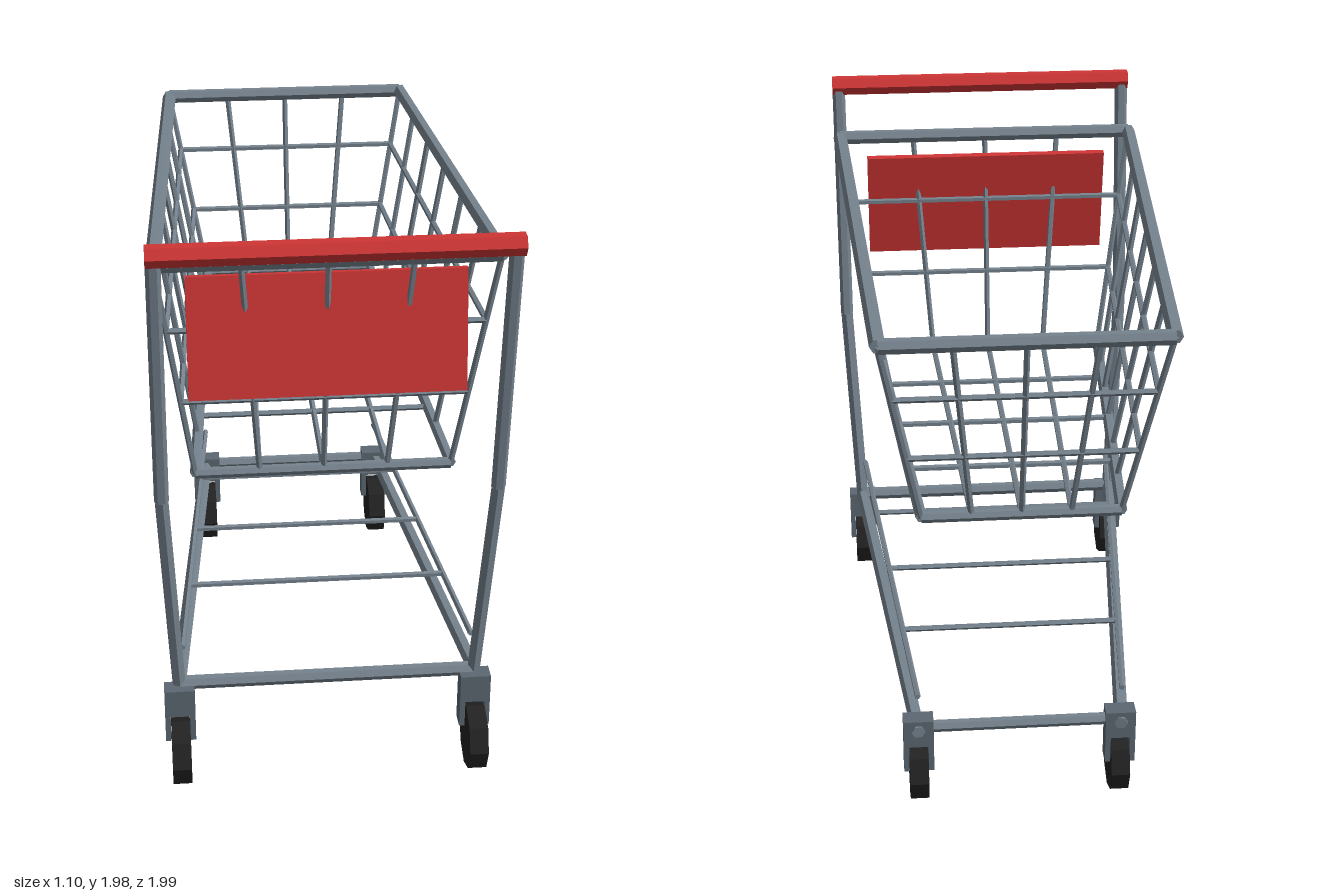
import * as THREE from 'three';

const mat = (name, color) => {
  const m = new THREE.MeshStandardMaterial({ color, flatShading: true });
  m.name = name;
  return m;
};

export function createModel() {
  const steel = mat('steel', 0x75828d);
  const darkSteel = mat('dark steel', 0x5c6872);
  const red = mat('red plastic', 0xcf3535);
  const rubber = mat('black rubber', 0x222222);

  const root = new THREE.Group();
  root.name = 'shoppingTrolley';
  const part = (name) => {
    const g = new THREE.Group();
    g.name = name;
    root.add(g);
    return g;
  };
  const V = (x, y, z) => new THREE.Vector3(x, y, z);
  const mix = (a, b, t) => a.clone().lerp(b, t);

  // Straight bar between two points, with an edge turned sideways
  const bar = (group, name, a, b, r, sides = 6, material = steel) => {
    const geo = new THREE.CylinderGeometry(r, r, a.distanceTo(b), sides, 1, false, Math.PI / 2);
    geo.rotateX(Math.PI / 2);
    const m = new THREE.Mesh(geo, material);
    m.name = name;
    m.position.copy(mix(a, b, 0.5));
    m.lookAt(b);
    group.add(m);
  };
  const box = (group, name, w, h, d, x, y, z, material) => {
    const m = new THREE.Mesh(new THREE.BoxGeometry(w, h, d), material);
    m.name = name;
    m.position.set(x, y, z);
    group.add(m);
    return m;
  };

  // Push handle and seat panel
  const handle = part('handle');
  bar(handle, 'handleGrip', V(-0.548, 1.945, 0.965), V(0.548, 1.945, 0.965), 0.035, 6, red);
  const panel = box(root, 'seatPanel', 0.86, 0.39, 0.024, 0, 1.567, 0.722, red);
  panel.rotation.x = -0.167;

  // Basket corners run front left, front right, back right, back left
  const basket = part('basket');
  const top = [V(0.525, 1.82, 0.74), V(-0.525, 1.82, 0.74), V(-0.433, 1.768, -0.968), V(0.433, 1.768, -0.968)];
  const low = [V(0.412, 1.037, 0.61), V(-0.412, 1.037, 0.61), V(-0.312, 1.115, -0.82), V(0.312, 1.115, -0.82)];
  const wire = 0.01;
  for (let i = 0; i < 4; i++) {
    const j = (i + 1) % 4;
    bar(basket, 'topRim', top[i], top[j], 0.024);
    bar(basket, 'bottomRim', low[i], low[j], 0.018);
    // Upright wires, including one at each corner
    const n = i % 2 ? 6 : 4;
    for (let k = 0; k < n; k++) {
      bar(basket, 'uprightWire', mix(low[i], low[j], k / n), mix(top[i], top[j], k / n), wire, 5);
    }
    // Level wires round the walls
    for (const t of [0.36, 0.7]) {
      bar(basket, 'levelWire', mix(low[i], top[i], t), mix(low[j], top[j], t), wire, 5);
    }
  }
  // Basket floor
  for (const t of [0.25, 0.5, 0.75]) {
    bar(basket, 'floorLongWire', mix(low[0], low[1], t), mix(low[3], low[2], t), wire, 5);
    bar(basket, 'floorCrossWire', mix(low[0], low[3], t), mix(low[1], low[2], t), wire, 5);
  }

  // Chassis, lower rack and casters, mirrored left and right
  const frame = part('frame');
  const rack = part('lowerRack');
  for (const s of [1, -1]) {
    const bend = V(s * 0.525, 1.08, 0.852);
    bar(frame, 'upperPost', V(s * 0.525, 1.945, 0.96), bend, 0.023);
    bar(frame, 'lowerPost', bend, V(s * 0.49, 0.335, 0.762), 0.023);
    bar(frame, 'baseRail', V(s * 0.49, 0.335, 0.762), V(s * 0.335, 0.298, -0.81), 0.023);
    bar(rack, 'rackSideWire', V(s * 0.475, 0.475, 0.765), V(s * 0.335, 0.433, -0.8), wire, 5);

    for (const [x, z, where] of [[0.49, 0.785, 'front'], [0.335, -0.775, 'back']]) {
      const caster = part(where + 'Caster');
      caster.position.set(s * x, 0, z);
      box(caster, 'forkCrown', 0.1, 0.1, 0.06, 0, 0.285, 0, darkSteel);
      for (const e of [1, -1]) {
        box(caster, 'forkArm', 0.018, 0.1, 0.06, e * 0.041, 0.19, 0, darkSteel);
      }
      const wheel = new THREE.Mesh(new THREE.CylinderGeometry(0.113, 0.113, 0.062, 8), rubber);
      wheel.name = 'wheel';
      wheel.rotation.z = Math.PI / 2;
      wheel.position.set(0, 0.113, 0.042);
      caster.add(wheel);
    }
  }
  bar(frame, 'frontCrossbar', V(-0.49, 0.335, 0.762), V(0.49, 0.335, 0.762), 0.023);
  bar(frame, 'backCrossbar', V(-0.335, 0.3, -0.78), V(0.335, 0.3, -0.78), 0.02);
  for (const t of [0.25, 0.5, 0.75]) {
    const x = 0.475 - 0.14 * t, y = 0.475 - 0.042 * t, z = 0.765 - 1.565 * t;
    bar(rack, 'rackCrossWire', V(-x, y, z), V(x, y, z), wire, 5);
  }
  return root;
}
